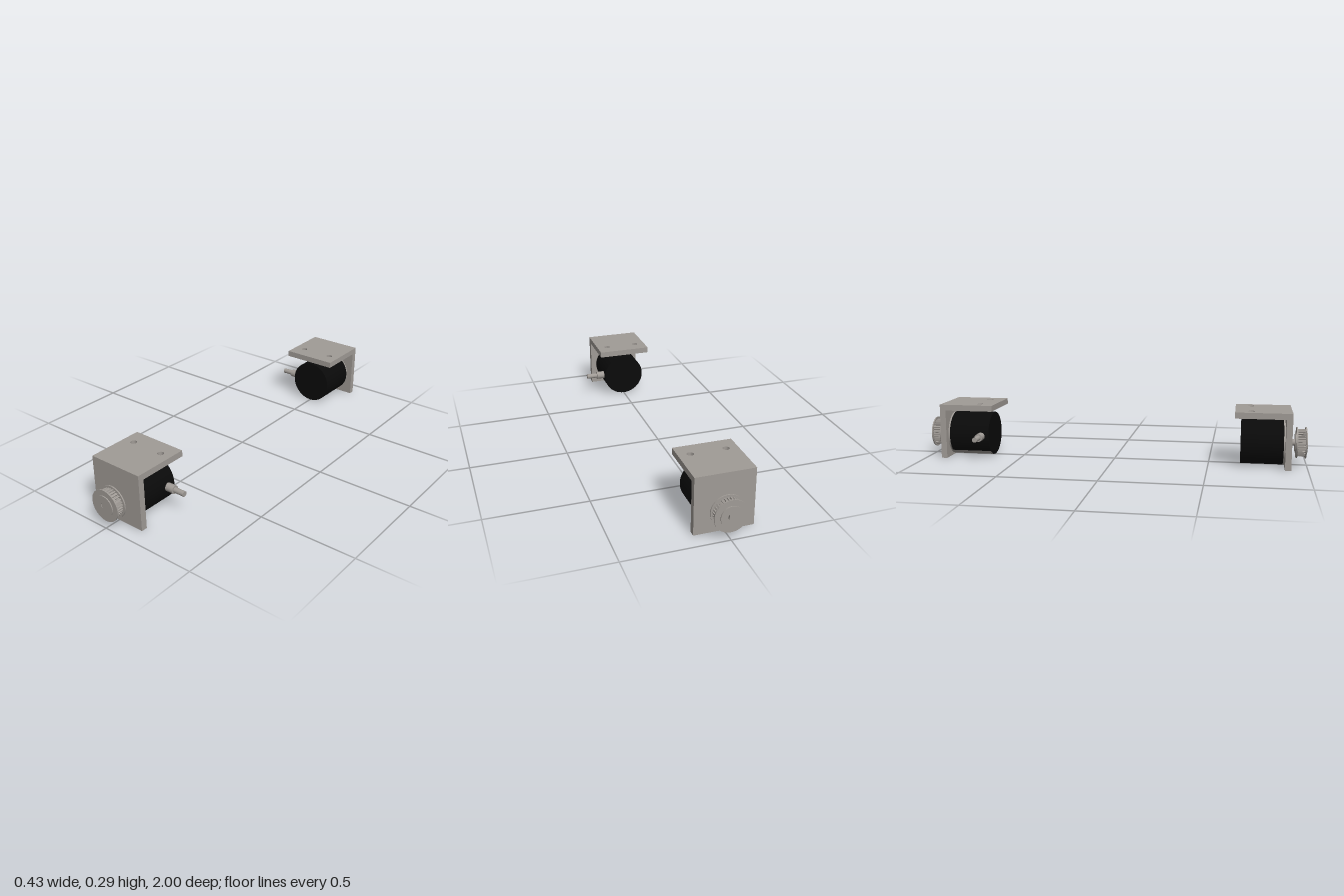
import * as THREE from 'three';
import { toCreasedNormals } from 'three/addons/utils/BufferGeometryUtils.js';

const metal = new THREE.MeshStandardMaterial({ color: 0xa09b96 });
metal.name = 'grey metal';
const black = new THREE.MeshStandardMaterial({ color: 0x0a0a0a });
black.name = 'black casing';

const AXIS_Y = 0.117;

function add(group, name, geometry, material = metal) {
  const mesh = new THREE.Mesh(geometry, material);
  mesh.name = name;
  group.add(mesh);
  return mesh;
}

// Cylinder along z between z0 and z1
function rod(r, z0, z1, segments = 64) {
  return new THREE.CylinderGeometry(r, r, z1 - z0, segments)
    .rotateX(Math.PI / 2).translate(0, AXIS_Y, (z0 + z1) / 2);
}

// Flat shape extruded along z between z0 and z1
function slab(shape, z0, z1) {
  const g = new THREE.ExtrudeGeometry(shape, { depth: z1 - z0, bevelEnabled: false, curveSegments: 48 });
  return toCreasedNormals(g.translate(0, AXIS_Y, z0), 0.5);
}

// Narrow gap left between the round bore and the flat of the shaft
function shaftGap() {
  const a = Math.acos(0.012 / 0.018);
  const gap = new THREE.Path();
  gap.absarc(0, 0, 0.018, Math.PI - a, Math.PI + a, false);
  gap.closePath();
  return gap;
}

function disc(r) {
  const s = new THREE.Shape();
  s.absarc(0, 0, r, 0, Math.PI * 2, false);
  s.holes.push(shaftGap());
  return s;
}

function toothedDisc(rootR, tipR, teeth) {
  const s = new THREE.Shape();
  for (let i = 0; i < teeth; i++) {
    [[0, rootR], [0.35, rootR], [0.45, tipR], [0.9, tipR]].forEach(([f, r], k) => {
      const a = ((i + f) / teeth) * Math.PI * 2;
      s[i + k === 0 ? 'moveTo' : 'lineTo'](Math.cos(a) * r, Math.sin(a) * r);
    });
  }
  s.closePath();
  s.holes.push(shaftGap());
  return s;
}

function makeBracket() {
  const g = new THREE.Group();
  g.name = 'bracket';
  add(g, 'uprightPlate', new THREE.BoxGeometry(0.288, 0.288, 0.031).translate(0, 0.144, 0.9015));

  // Top plate with two screw holes
  const top = new THREE.Shape();
  top.moveTo(-0.144, 0.632).lineTo(0.144, 0.632).lineTo(0.144, 0.886).lineTo(-0.144, 0.886).closePath();
  for (const x of [-0.086, 0.086]) {
    const hole = new THREE.Path();
    hole.absarc(x, 0.713, 0.016, 0, Math.PI * 2, true);
    top.holes.push(hole);
  }
  const plate = new THREE.ExtrudeGeometry(top, { depth: 0.031, bevelEnabled: false, curveSegments: 24 });
  plate.rotateX(Math.PI / 2).translate(0, 0.288, 0);
  add(g, 'topPlate', toCreasedNormals(plate, 0.5));
  return g;
}

function makePulley() {
  const g = new THREE.Group();
  g.name = 'pulley';
  add(g, 'toothedCore', slab(toothedDisc(0.063, 0.07, 30), 0.948, 0.99));
  for (const z of [0.944, 0.989]) add(g, 'flange', slab(disc(0.08), z, z + 0.006));
  add(g, 'frontHub', slab(disc(0.052), 0.994, 1));
  add(g, 'rearHub', slab(disc(0.052), 0.938, 0.945));
  add(g, 'driveShaft', rod(0.017, 0.886, 0.94, 32));
  return g;
}

function makeMotor(bareUnderside) {
  const g = new THREE.Group();
  g.name = 'motor';
  add(g, 'casing', rod(0.115, 0.663, 0.878, 96), black);
  add(g, 'mountingFlange', rod(0.115, 0.878, 0.888, 96));

  // Bare strip along the bottom of the casing
  if (bareUnderside) {
    const half = 0.73;
    const strip = new THREE.CylinderGeometry(0.1155, 0.1155, 0.215, 32, 1, true, -half, half * 2);
    add(g, 'bareStrip', strip.rotateX(Math.PI / 2).translate(0, AXIS_Y, 0.7705));
  }

  // Side outlet: collar and thinner pin
  for (const [name, r, x0, x1] of [['outletCollar', 0.021, 0.1, 0.158], ['outletPin', 0.0135, 0.15, 0.216]]) {
    const c = new THREE.CylinderGeometry(r, r, x1 - x0, 32).rotateZ(Math.PI / 2);
    add(g, name, c.translate((x0 + x1) / 2, AXIS_Y, 0.705));
  }
  return g;
}

export function createModel() {
  const model = new THREE.Group();
  model.name = 'motorPair';
  // Two matching drive units facing away from each other
  ['frontUnit', 'rearUnit'].forEach((name, i) => {
    const unit = new THREE.Group();
    unit.name = name;
    unit.add(makeBracket(), makePulley(), makeMotor(i === 1));
    unit.rotation.y = i * Math.PI;
    model.add(unit);
  });
  return model;
}
